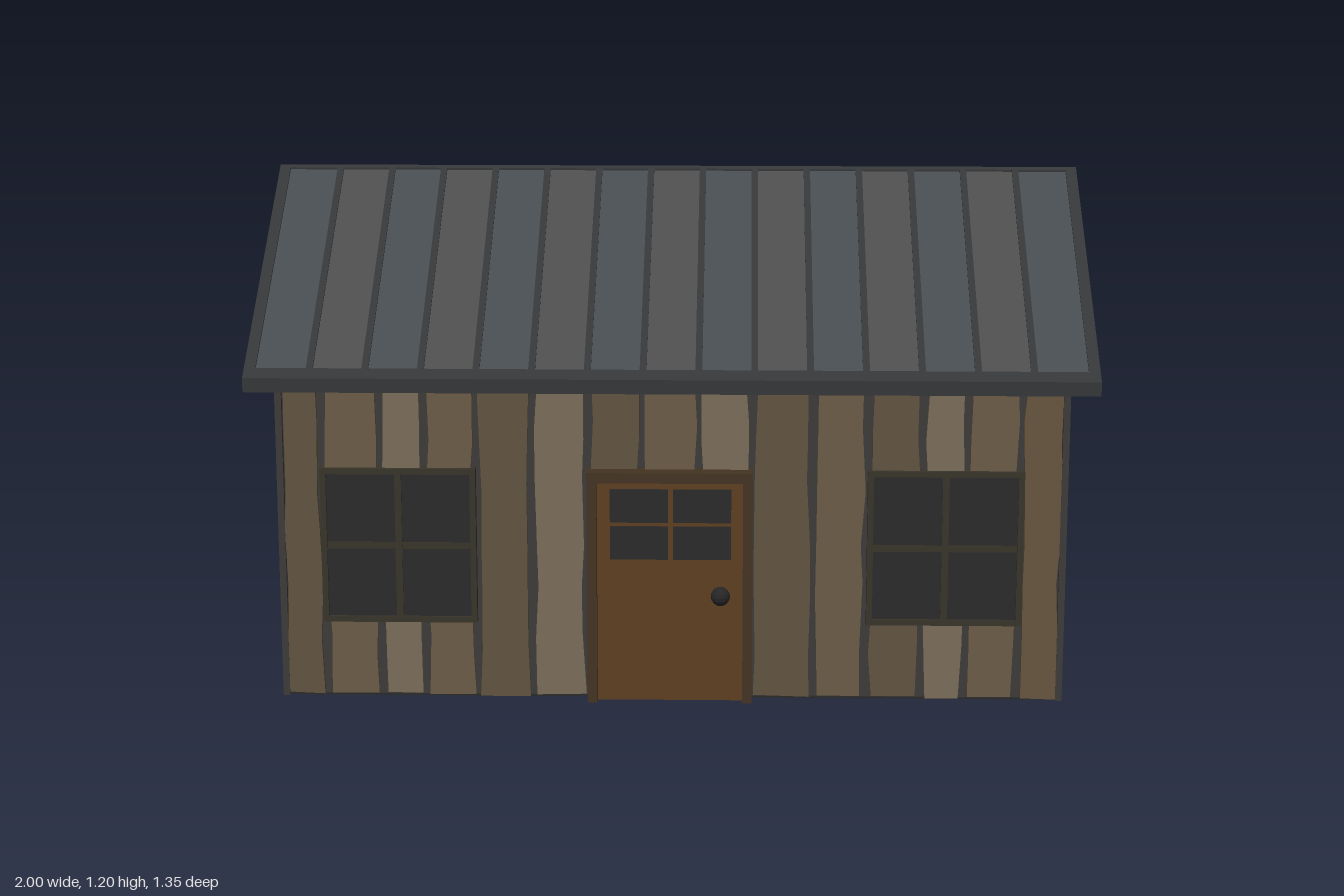
import * as THREE from 'three';

const mat = (color) => new THREE.MeshStandardMaterial({ color, roughness: 0.9, flatShading: true });
const M = {
  dark: mat(0x3c3b39), trim: mat(0x353638), under: mat(0x1c1c1c), floor: mat(0x2a2a2a),
  frame: mat(0x38342b), glass: mat(0x2b2b2b), door: mat(0x5d3f20), doorFrame: mat(0x443322), knob: mat(0x262626),
};
const PLANKS = [0x615340, 0x6b5b46, 0x7a6d59, 0x66553f].map(mat);
const PANELS = [0x454b4f, 0x4c4c4c].map(mat);

// small seeded generator for the rough plank edges
let seed = 7;
const rand = () => (seed = (seed * 16807) % 2147483647) / 2147483647;

function add(parent, name, geo, material, x = 0, y = 0, z = 0) {
  const mesh = new THREE.Mesh(geo, material);
  mesh.name = name;
  mesh.position.set(x, y, z);
  parent.add(mesh);
  return mesh;
}

// box given by its left, right, bottom, top, back and front
function box(parent, name, material, x0, x1, y0, y1, z0, z1) {
  return add(parent, name, new THREE.BoxGeometry(x1 - x0, y1 - y0, z1 - z0), material,
    (x0 + x1) / 2, (y0 + y1) / 2, (z0 + z1) / 2);
}

const extrude = (pts, depth) => new THREE.ExtrudeGeometry(
  new THREE.Shape(pts.map(([x, y]) => new THREE.Vector2(x, y))), { depth, bevelEnabled: false });

// height of the roof surface at a distance from the ridge
const roofY = (z) => 1.2 - 0.587 * Math.abs(z);
const gableTop = (x) => roofY(x) - 0.045;
const eaveTop = () => 0.79;

// rough vertical boards between the given seams, on a wall facing +z
function planks(wall, seams, top, order) {
  const edge = (x, side, h) => {
    const pts = [];
    for (let i = 0; i <= 6; i++) {
      const px = x + side * (0.004 + rand() * 0.011);
      const y = i === 0 ? 0.002 + rand() * 0.008 : i === 6 ? top(px) : h * (i + (rand() - 0.5) * 0.5) / 6;
      pts.push([px, y]);
    }
    return pts;
  };
  for (let i = 0; i < seams.length - 1; i++) {
    const a = seams[i], b = seams[i + 1];
    const left = edge(a, 1, top(a)), right = edge(b, -1, top(b));
    const peak = a < 0 && b > 0 ? [[0, top(0)]] : [];
    add(wall, 'wallPlank', extrude([...left, ...peak, ...right.reverse()], 0.012),
      PLANKS[order[i % order.length]]);
  }
}

// four-pane window on a wall facing +z
function windowUnit(wall, x0, x1, y0, y1, depth, border) {
  const g = new THREE.Group();
  g.name = 'window';
  wall.add(g);
  const cx = (x0 + x1) / 2, cy = (y0 + y1) / 2, bar = 0.008;
  box(g, 'windowGlass', M.glass, x0 + 0.005, x1 - 0.005, y0 + 0.005, y1 - 0.005, 0, depth - 0.007);
  for (const x of [x0, x1 - border]) box(g, 'windowStile', M.frame, x, x + border, y0, y1, 0, depth);
  for (const y of [y0, y1 - border]) box(g, 'windowRail', M.frame, x0 + border, x1 - border, y, y + border, 0, depth);
  box(g, 'windowMullion', M.frame, cx - bar, cx + bar, y0 + border, y1 - border, 0, depth - 0.003);
  box(g, 'windowCrossbar', M.frame, x0 + border, x1 - border, cy - bar, cy + bar, 0, depth - 0.004);
}

function wallGroup(root, name, turn, distance) {
  const g = new THREE.Group();
  g.name = name;
  g.rotation.y = turn;
  g.position.set(Math.sin(turn) * distance, 0, Math.cos(turn) * distance);
  root.add(g);
  return g;
}

function buildGable(wall) {
  planks(wall, [-0.6, -0.46, -0.3, -0.165, -0.035, 0.05, 0.175, 0.3, 0.445, 0.59], gableTop,
    [0, 1, 2, 0, 2, 0, 1, 2].map((c, i) => [0, 1, 1, 0, 2, 0, 1, 2][i]).concat(2));
  windowUnit(wall, -0.165, 0.165, 0.165, 0.585, 0.025, 0.027);
  box(wall, 'tieBeam', M.dark, -0.6, 0.6, 0.768, 0.79, 0, 0.022);
  for (const s of [-1, 1]) {
    const brace = extrude([[0.14 * s, 0.79], [0.168 * s, 0.79], [0.24 * s, 1.0], [0.215 * s, 1.025]], 0.02);
    add(wall, 'gableBrace', brace, M.dark);
  }
}

function buildDoor(wall) {
  const door = new THREE.Group();
  door.name = 'door';
  wall.add(door);
  box(door, 'doorPanel', M.door, -0.178, 0.172, 0, 0.545, 0, 0.026);
  for (const x of [-0.2, 0.17]) box(door, 'doorJamb', M.doorFrame, x, x + 0.023, 0, 0.547, 0, 0.05);
  box(door, 'doorHeader', M.doorFrame, -0.2, 0.193, 0.545, 0.57, 0, 0.05);
  for (const x of [-0.146, 0.004]) for (const y of [0.352, 0.443])
    box(door, 'doorPane', M.glass, x, x + 0.138, y, y + 0.082, 0.02, 0.029);
  add(door, 'doorKnob', new THREE.SphereGeometry(0.023, 12, 8), M.knob, 0.117, 0.267, 0.045);
  const stem = add(door, 'doorKnobStem', new THREE.CylinderGeometry(0.01, 0.01, 0.03, 8), M.knob, 0.117, 0.267, 0.03);
  stem.rotation.x = Math.PI / 2;
}

// mirrored pair of sloping strips, from d0 to d1 below the roof surface
function roofStrip(roof, name, material, x0, x1, zIn, zOut, d0, d1) {
  for (const s of [-1, 1]) {
    const pts = [[s * zIn, roofY(zIn) - d0], [s * zOut, roofY(zOut) - d0],
      [s * zOut, roofY(zOut) - d1], [s * zIn, roofY(zIn) - d1]];
    add(roof, name, extrude(pts, x1 - x0).rotateY(Math.PI / 2), material, x0, 0, 0);
  }
}

function buildRoof(root) {
  const roof = new THREE.Group();
  roof.name = 'roof';
  root.add(roof);
  roofStrip(roof, 'roofUnderlay', M.under, -0.985, 0.985, 0, 0.645, 0.028, 0.055);
  roofStrip(roof, 'roofSlab', M.trim, -0.998, 0.998, 0, 0.672, 0.012, 0.032);
  // metal sheets separated by raised seams
  const count = 15, start = -0.977, step = 1.954 / count;
  for (let i = 0; i <= count; i++) {
    const x = start + i * step;
    if (i < count) roofStrip(roof, 'roofSheet', PANELS[i % 2], x, x + step, 0, 0.65, 0.005, 0.014);
    if (i > 0 && i < count) roofStrip(roof, 'roofSeam', M.trim, x - 0.008, x + 0.008, 0, 0.65, 0, 0.012);
  }
  for (const x of [-1, 0.973]) roofStrip(roof, 'vergeTrim', M.trim, x, x + 0.027, 0, 0.675, 0, 0.034);
  roofStrip(roof, 'eaveTrim', M.trim, -0.975, 0.975, 0.645, 0.675, 0, 0.034);
  roofStrip(roof, 'ridgeCap', M.trim, -0.975, 0.975, 0, 0.01, 0, 0.012);
}

export function createModel() {
  const root = new THREE.Group();
  root.name = 'cabin';

  // dark core behind the boards
  const profile = [[-0.59, 0], [0.59, 0], [0.59, 0.8], [0, 1.145], [-0.59, 0.8]];
  add(root, 'wallCore', extrude(profile, 1.85).rotateY(Math.PI / 2), M.dark, -0.925, 0, 0);
  box(root, 'floor', M.floor, -0.93, 0.93, 0, 0.004, -0.595, 0.595);
  for (const x of [-0.93, 0.93]) for (const z of [-0.595, 0.595])
    box(root, 'cornerPost', M.dark, x - 0.008, x + 0.008, 0, 0.79, z - 0.008, z + 0.008);

  // long walls
  const seams = [-0.93, -0.83, -0.695, -0.59, -0.465, -0.33, -0.2, -0.07, 0.065, 0.19, 0.335, 0.465, 0.595, 0.7, 0.825, 0.93];
  const order = [0, 1, 2, 1, 0, 2, 0, 1, 2, 0, 1, 0, 2, 1, 3];
  const front = wallGroup(root, 'frontWall', 0, 0.59);
  planks(front, seams, eaveTop, order);
  for (const x of [-0.835, 0.465]) windowUnit(front, x, x + 0.37, 0.19, 0.57, 0.022, 0.014);
  buildDoor(front);
  planks(wallGroup(root, 'backWall', Math.PI, 0.59), seams, eaveTop, order);

  // gable ends
  for (const s of [-1, 1]) buildGable(wallGroup(root, s > 0 ? 'leftGable' : 'rightGable', s * Math.PI / 2, 0.925));

  buildRoof(root);
  return root;
}
